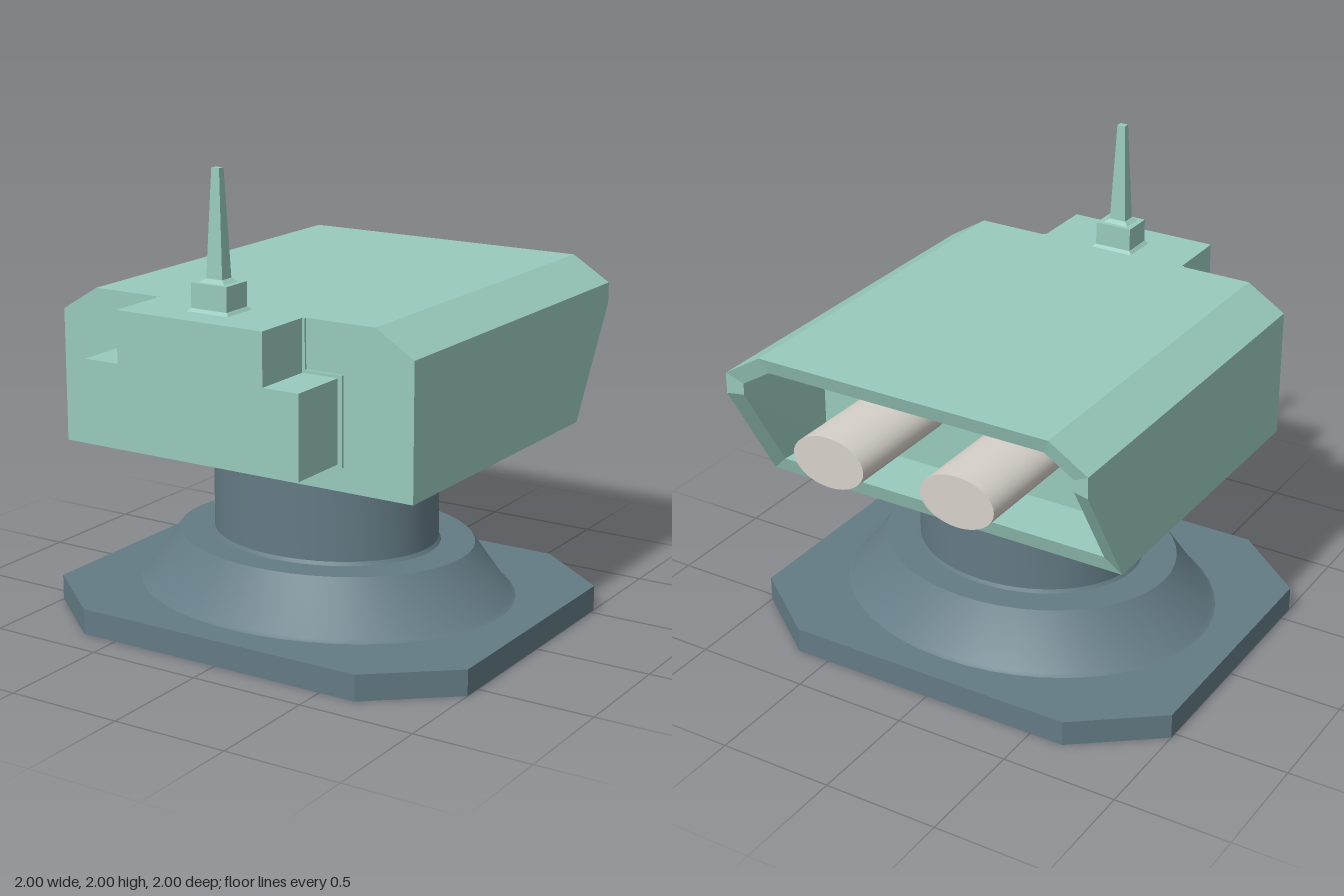
import * as THREE from 'three';
import { toCreasedNormals } from 'three/addons/utils/BufferGeometryUtils.js';

const green = new THREE.MeshStandardMaterial({ color: 0x99cabd });
const slate = new THREE.MeshStandardMaterial({ color: 0x647b85 });
const pale = new THREE.MeshStandardMaterial({ color: 0xd6d1ca });

const shapeOf = (pts) => new THREE.Shape(pts.map(([x, y]) => new THREE.Vector2(x, y)));
const extrude = (pts, depth) =>
  new THREE.ExtrudeGeometry(shapeOf(pts), { depth, bevelEnabled: false });
// half outline on +x mirrored into a closed loop
const mirrored = (half) => [...half, ...half.slice().reverse().map(([x, y]) => [-x, y])];

// Skin a list of equal-length loops and cap both ends, with flat faces
function skin(loops) {
  const n = loops[0].length;
  const index = [];
  loops.slice(1).forEach((_, k) => {
    for (let i = 0; i < n; i++) {
      const a = k * n + i, b = k * n + (i + 1) % n;
      index.push(a, a + n, b, b, a + n, b + n);
    }
  });
  const last = (loops.length - 1) * n;
  for (let i = 1; i < n - 1; i++) {
    index.push(0, i, i + 1);
    index.push(last, last + i + 1, last + i);
  }
  const geo = new THREE.BufferGeometry();
  geo.setAttribute('position', new THREE.Float32BufferAttribute(loops.flat(2), 3));
  geo.setIndex(index);
  const flat = geo.toNonIndexed();
  flat.computeVertexNormals();
  return flat;
}

export function createModel() {
  const group = new THREE.Group();
  const add = (name, geo, mat, x = 0, y = 0, z = 0) => {
    const mesh = new THREE.Mesh(geo, mat);
    mesh.name = name;
    mesh.position.set(x, y, z);
    group.add(mesh);
    return mesh;
  };

  // Base plate: rectangle with cut corners
  const plate = extrude(mirrored([[0.66, -0.86], [1, -0.58], [1, 0.53], [0.65, 0.8]]), 0.11);
  plate.rotateX(-Math.PI / 2);
  add('basePlate', plate, slate);

  // Oval skirt and pillar turned in one profile
  const profile = [[0.85, 0.105], [0.82, 0.12], [0.66, 0.335], [0.51, 0.335],
    [0.5, 0.35], [0.5, 0.8]].map(([r, y]) => new THREE.Vector2(r, y));
  const pedestal = new THREE.LatheGeometry(profile, 48);
  pedestal.scale(1, 1, 0.83);
  add('pedestal', toCreasedNormals(pedestal, 0.5), slate, 0, 0, 0.03);

  // Housing: chamfered box, raked open back and deep recess
  const outer = mirrored([[0.83, 0.78], [0.83, 1.25], [0.83, 1.34], [0.66, 1.445]]);
  const inner = mirrored([[0.76, 0.85], [0.76, 1.25], [0.76, 1.3], [0.63, 1.38]]);
  const rake = (y) => Math.max(-0.94, -0.66 - 0.28 * (y - 0.78) / 0.47);
  add('housing', skin([
    outer.map(([x, y]) => [x, y, 0.72]),
    outer.map(([x, y]) => [x, y, rake(y)]),
    inner.map(([x, y]) => [x, y, rake(y) + 0.02]),
    inner.map(([x, y]) => [x * 0.97, y, -0.42]),
  ]), green);

  // Stepped block on the front
  const step = [[0.5, 0.89], [0.5, 1.23], [0.34, 1.23], [0.34, 1.445]];
  add('frontBlock', extrude(mirrored(step), 0.29), green, 0, 0, 0.71);
  const collar = [[0.52, 0.878], [0.52, 1.243], [0.352, 1.243], [0.352, 1.444]];
  add('frontBlockCollar', extrude(mirrored(collar), 0.02), green, 0, 0, 0.71);

  // Aerial: foot, box and tapered four-sided mast
  const taper = (bottom, top, h) =>
    new THREE.CylinderGeometry(top * Math.SQRT2, bottom * Math.SQRT2, h, 4, 1)
      .rotateY(Math.PI / 4).toNonIndexed();
  const aerial = [
    ['aerialFoot', taper(0.1, 0.085, 0.015), 1.45],
    ['aerialBox', taper(0.083, 0.083, 0.115), 1.5],
    ['aerialFlare', taper(0.058, 0.038, 0.015), 1.565],
    ['aerialMast', taper(0.038, 0.018, 0.44), 1.78],
  ];
  for (const [name, geo, y] of aerial) {
    geo.scale(1, 1, 0.82);
    geo.computeVertexNormals();
    add(name, geo, green, 0, y, 0.793);
  }

  // Pair of oval barrels in the recess
  for (const side of [-1, 1]) {
    const barrel = new THREE.CylinderGeometry(1, 1, 0.6, 32).rotateX(Math.PI / 2);
    barrel.scale(0.166, 0.11, 1);
    add(side > 0 ? 'leftBarrel' : 'rightBarrel', barrel, pale, side * 0.297, 1.11, -0.7);
  }
  return group;
}
